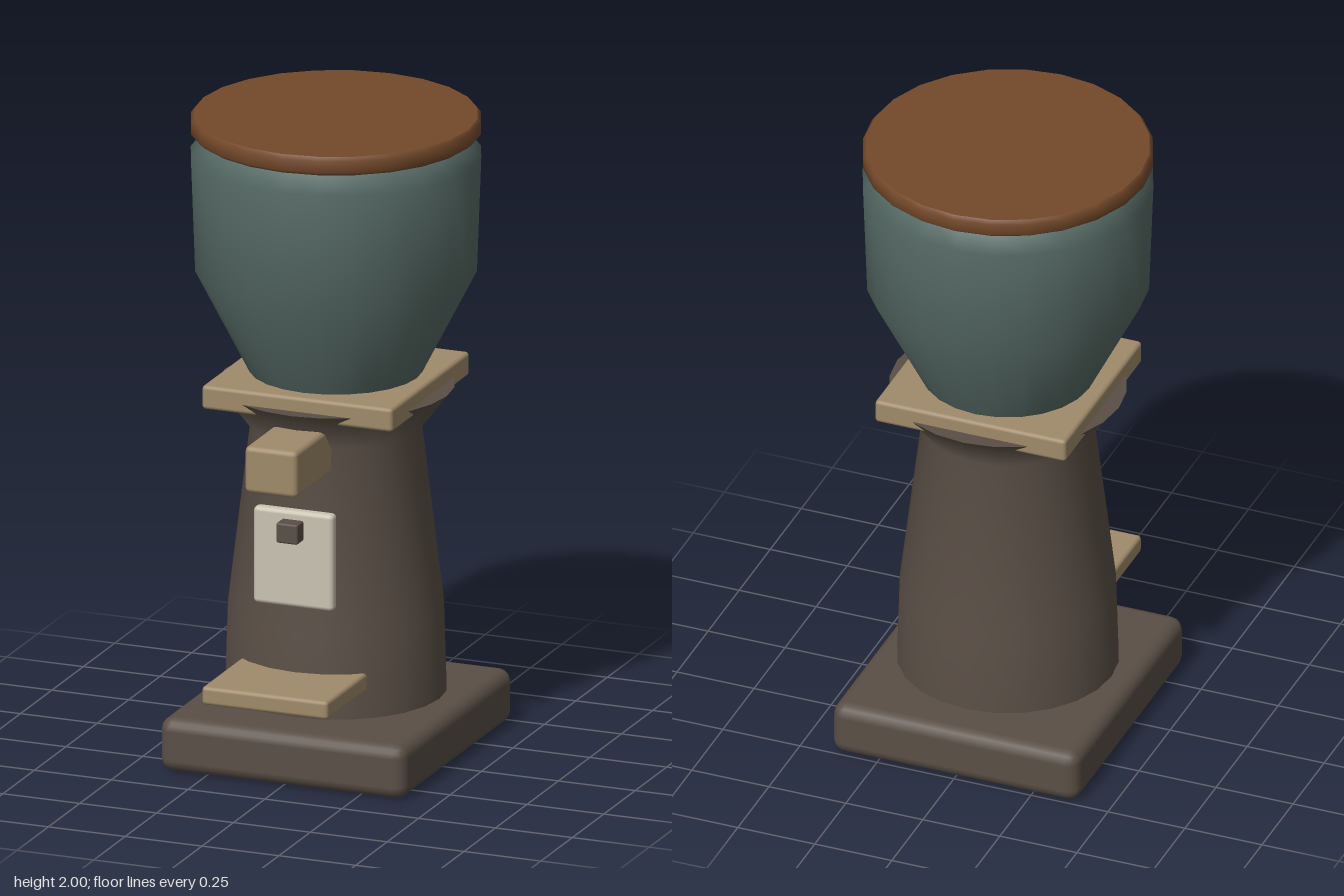
import * as THREE from 'three';
import { RoundedBoxGeometry } from 'three/addons/geometries/RoundedBoxGeometry.js';

const AXIS_Z = -0.065; // vertical axis of the turned parts

function material(name, color, side = THREE.FrontSide) {
  const m = new THREE.MeshStandardMaterial({ color, side });
  m.name = name;
  return m;
}

export function createModel() {
  const group = new THREE.Group();
  const darkBrown = material('darkBrown', 0x5a4f46, THREE.DoubleSide);
  const teal = material('teal', 0x566a65, THREE.DoubleSide);
  const wood = material('wood', 0x74492a);
  const tan = material('tan', 0xa08a6a);
  const ivory = material('ivory', 0xcac3b2);

  const add = (name, geometry, mat) => {
    const mesh = new THREE.Mesh(geometry, mat);
    mesh.name = name;
    group.add(mesh);
    return mesh;
  };

  // Box from its minimum and maximum corners, with softened edges
  const box = (name, min, max, radius, mat) => {
    const size = max.map((v, i) => v - min[i]);
    const mesh = add(name, new RoundedBoxGeometry(...size, 2, radius), mat);
    mesh.position.set(...max.map((v, i) => (v + min[i]) / 2));
  };

  // Turned part from [radius, height] pairs, listed bottom to top
  const turned = (name, profile, mat) => {
    const points = profile.map(([r, y]) => new THREE.Vector2(r, y));
    add(name, new THREE.LatheGeometry(points, 24), mat).position.z = AXIS_Z;
  };

  // Base slab
  box('base', [-0.4, 0, -0.505], [0.4, 0.17, 0.375], 0.04, darkBrown);

  // Tapered body with a flared neck, and its flat ends
  turned('body', [[0.336, 0.19], [0.328, 0.45], [0.26, 1.02], [0.36, 1.15]], darkBrown);
  turned('bodyBottom', [[0, 0.19], [0.336, 0.19]], darkBrown);
  turned('bodyTop', [[0.36, 1.15], [0, 1.15]], darkBrown);

  // Square collar between body and hopper
  box('collar', [-0.31, 1.12, -0.372], [0.31, 1.195, 0.248], 0.012, tan);

  // Bean hopper
  turned('hopper', [[0.25, 1.17], [0.428, 1.52], [0.441, 1.88], [0.385, 1.93]], teal);
  turned('hopperTop', [[0.385, 1.93], [0, 1.93]], teal);

  // Lid with small bevels, each band creased by repeating its edge points
  turned('lidRim', [[0.425, 1.94], [0.44, 1.952], [0.44, 1.988], [0.43, 2]], wood);
  turned('lidTop', [[0.43, 2], [0, 2]], wood);
  turned('lidUnderside', [[0, 1.94], [0.425, 1.94]], wood);

  // Front fittings
  box('spout', [-0.085, 0.945, 0.1], [0.085, 1.092, 0.458], 0.016, tan);
  box('controlPanel', [-0.13, 0.54, 0.24], [0.13, 0.845, 0.28], 0.014, ivory);
  box('knob', [-0.035, 0.755, 0.265], [0.035, 0.818, 0.328], 0.006, darkBrown);
  box('tray', [-0.205, 0.274, 0.15], [0.205, 0.332, 0.505], 0.012, tan);

  return group;
}
